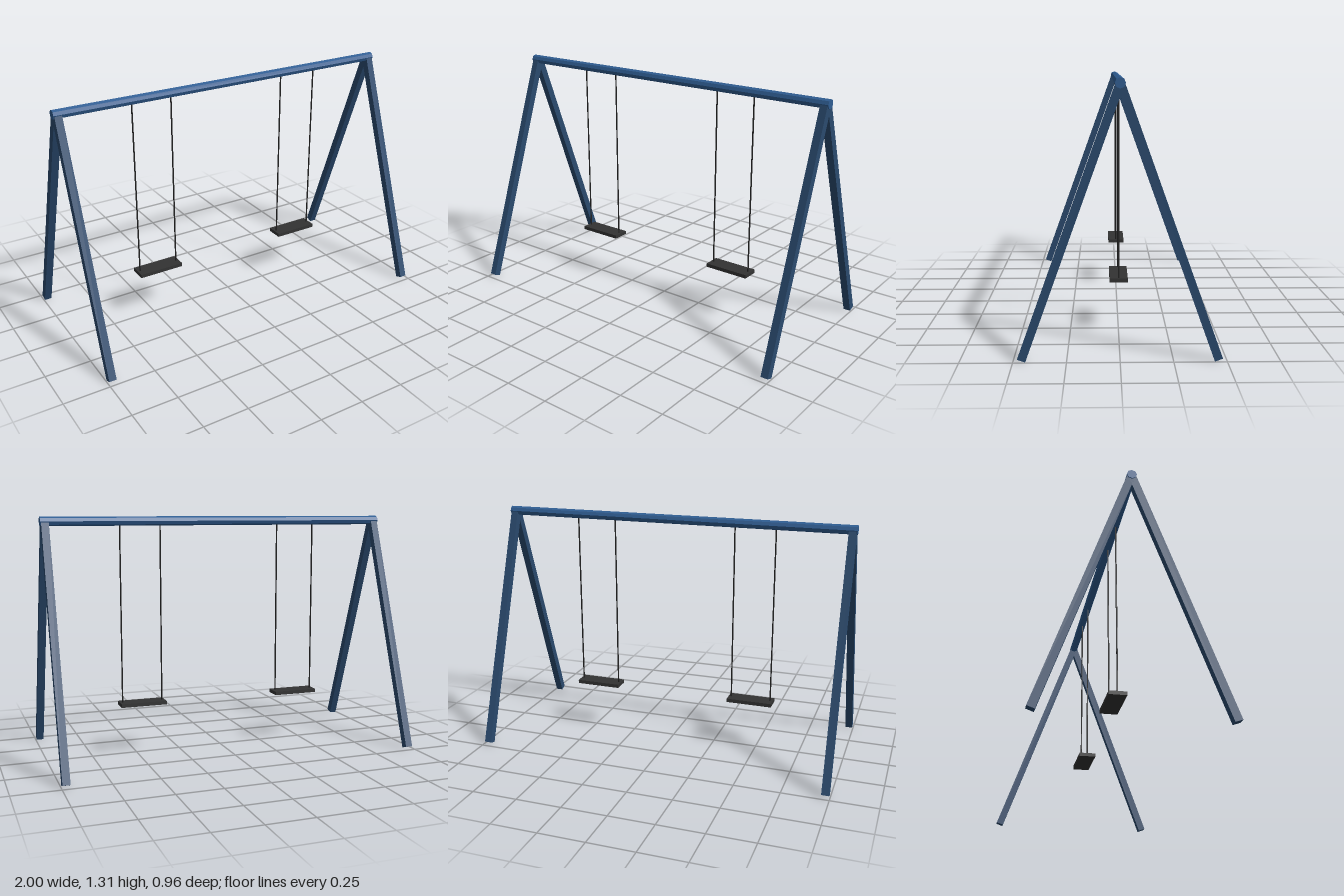
import * as THREE from 'three';

const BEAM_Y = 1.29;

function material(name, color) {
  const m = new THREE.MeshStandardMaterial({ color, flatShading: true });
  m.name = name;
  return m;
}

export function createModel() {
  const swingSet = new THREE.Group();
  swingSet.name = 'swingSet';

  const beamBlue = material('beam blue', 0x2f5d92);
  const legBlue = material('leg blue', 0x2a4a6e);
  const ropeBlack = material('rope black', 0x222222);
  const seatGrey = material('seat grey', 0x333333);

  function add(parent, name, geometry, mat, x, y, z) {
    const mesh = new THREE.Mesh(geometry, mat);
    mesh.name = name;
    mesh.position.set(x, y, z);
    parent.add(mesh);
    return mesh;
  }

  // Octagonal top beam
  const beamGeometry = new THREE.CylinderGeometry(0.025, 0.025, 2, 8).rotateZ(Math.PI / 2);
  add(swingSet, 'topBeam', beamGeometry, beamBlue, 0, BEAM_Y, 0);

  // Square legs, splayed to front and back at each end
  const footY = 0.007, footZ = 0.461;
  const rise = BEAM_Y - footY;
  const legGeometry = new THREE.BoxGeometry(0.04, Math.hypot(rise, footZ), 0.04);
  for (const side of [-1, 1]) {
    const frame = new THREE.Group();
    frame.name = side > 0 ? 'leftFrame' : 'rightFrame';
    for (const dir of [-1, 1]) {
      const leg = add(frame, dir > 0 ? 'frontLeg' : 'backLeg', legGeometry, legBlue,
        side * 0.975, (BEAM_Y + footY) / 2, dir * footZ / 2);
      leg.rotation.x = -dir * Math.atan2(footZ, rise);
    }
    swingSet.add(frame);
  }

  // Two swings, each a flat seat on two ropes
  const seatY = 0.281;
  const seatGeometry = new THREE.BoxGeometry(0.256, 0.02, 0.094);
  const ropeGeometry = new THREE.CylinderGeometry(0.004, 0.004, BEAM_Y - seatY, 6);
  for (const side of [-1, 1]) {
    const swing = new THREE.Group();
    swing.name = side > 0 ? 'leftSwing' : 'rightSwing';
    swing.position.x = side * 0.462;
    add(swing, 'seat', seatGeometry, seatGrey, 0, seatY, 0);
    for (const end of [-1, 1]) {
      add(swing, 'rope', ropeGeometry, ropeBlack, end * 0.113, (BEAM_Y + seatY) / 2, 0);
    }
    swingSet.add(swing);
  }

  return swingSet;
}
